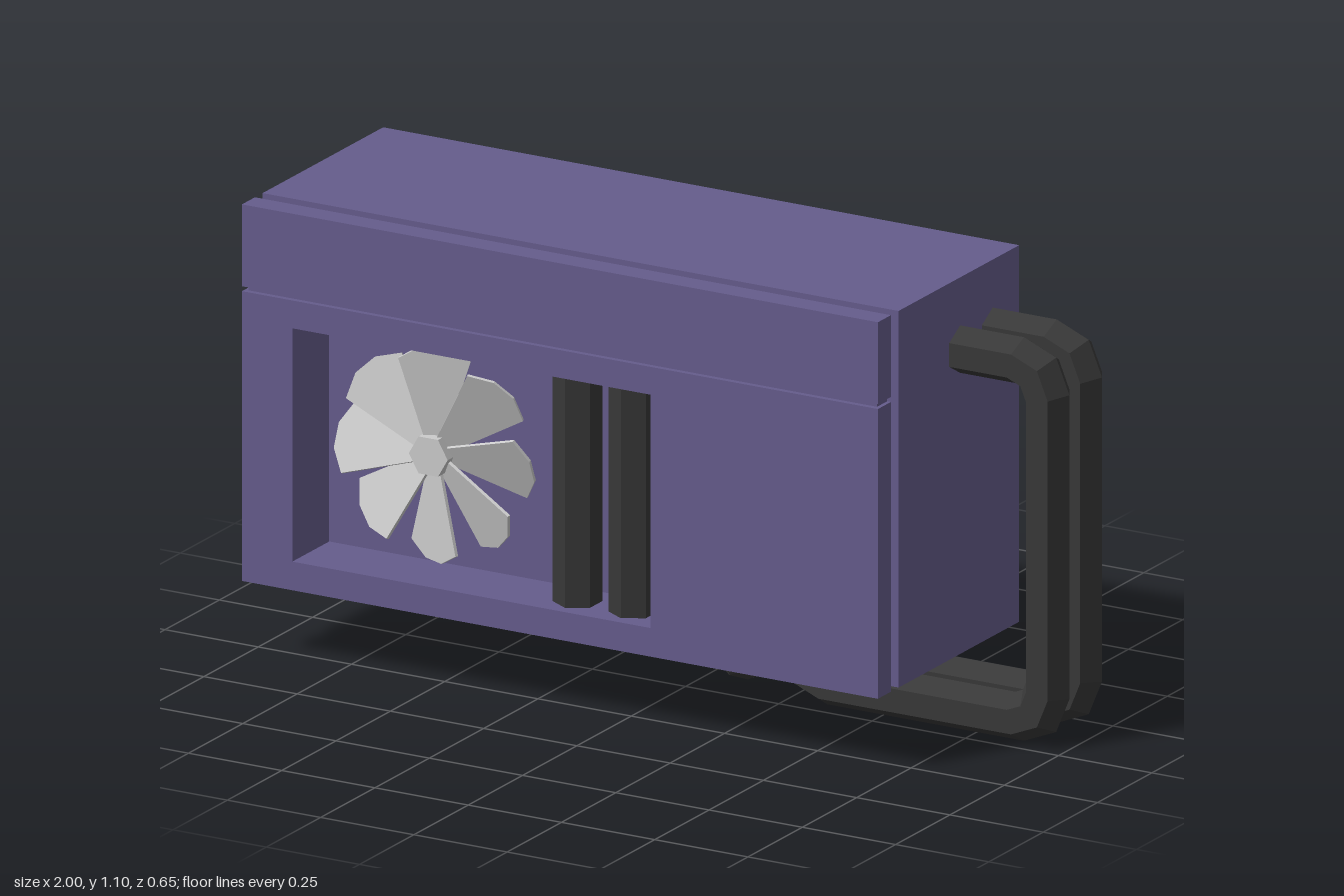
import * as THREE from 'three';

const mat = (color) => new THREE.MeshStandardMaterial({ color, flatShading: true, side: THREE.DoubleSide });

export function createModel() {
  const model = new THREE.Group();
  const shell = mat(0x655c8c), dark = mat(0x383838), grey = mat(0xcccccc);

  const add = (name, geometry, material, parent = model) => {
    const mesh = new THREE.Mesh(geometry, material);
    mesh.name = name;
    parent.add(mesh);
    return mesh;
  };

  // Box given by its two extremes on each axis
  const block = (name, [x0, x1], [y0, y1], [z0, z1]) => add(name,
    new THREE.BoxGeometry(x1 - x0, y1 - y0, z1 - z0)
      .translate((x0 + x1) / 2, (y0 + y1) / 2, (z0 + z1) / 2), shell);

  const rect = (C, [x0, x1], [y0, y1]) =>
    new C([[x0, y0], [x1, y0], [x1, y1], [x0, y1]].map((p) => new THREE.Vector2(...p)));

  // Plate with the window cut through it
  const windowX = [-0.865, 0.095], windowY = [0.255, 0.825];
  const framed = (name, x, y, [z0, z1]) => {
    const shape = rect(THREE.Shape, x, y);
    shape.holes.push(rect(THREE.Path, windowX, windowY));
    add(name, new THREE.ExtrudeGeometry(shape, { depth: z1 - z0, bevelEnabled: false })
      .translate(0, 0, z0), shell);
  };

  // Casing and front panels
  const fullX = [-1, 0.705];
  block('casingRear', fullX, [0.185, 1.105], [-0.325, 0.155]);
  framed('casingFront', fullX, [0.185, 1.105], [0.155, 0.23]);
  framed('panelSpacer', [-0.88, 0.6], [0.25, 1.045], [0.23, 0.265]);
  framed('lowerPanel', fullX, [0.185, 0.893], [0.265, 0.325]);
  block('upperPanel', fullX, [0.905, 1.105], [0.265, 0.325]);
  block('panelSeam', [-0.99, 0.695], [0.893, 0.905], [0.265, 0.312]);

  // Tilted flap under the casing
  const flap = add('ventFlap', new THREE.BoxGeometry(1.52, 0.012, 0.12), shell);
  flap.position.set(-0.145, 0.175, 0.129);
  flap.rotation.x = Math.PI / 6;

  // Fan behind the window
  const fan = new THREE.Group();
  fan.name = 'fan';
  fan.position.set(-0.55, 0.54, 0.21);
  model.add(fan);
  add('fanHub', new THREE.CylinderGeometry(0.052, 0.052, 0.06, 6)
    .rotateY(Math.PI / 6).rotateX(Math.PI / 2), grey, fan);
  const bladeShape = new THREE.Shape([
    [-0.022, 0.03], [0.022, 0.03], [0.085, 0.23], [0.03, 0.262], [-0.03, 0.262], [-0.085, 0.23],
  ].map((p) => new THREE.Vector2(...p)));
  const bladeGeo = new THREE.ExtrudeGeometry(bladeShape, { depth: 0.008, bevelEnabled: false })
    .translate(0, 0, -0.004).rotateY(0.4);
  for (let i = 0; i < 8; i++) add('fanBlade', bladeGeo, grey, fan).rotation.z = i * Math.PI / 4;

  // Upright pipes in the window
  const R = 0.058;
  for (const x of [-0.15, 0]) {
    add('uprightPipe', new THREE.CylinderGeometry(R, R, 0.57, 6), dark).position.set(x, 0.54, 0.24);
  }

  // Hexagonal pipe with rounded corners and mitred joints
  const pipe = (name, corners) => {
    const c = corners.map((p) => new THREE.Vector3(...p));
    const pts = [c[0]];
    for (let i = 1; i < c.length - 1; i++) {
      const r = 0.075;
      const a = c[i - 1].clone().sub(c[i]).setLength(r);
      const b = c[i + 1].clone().sub(c[i]).setLength(r);
      for (const t of [0, Math.PI / 4, Math.PI / 2]) {
        pts.push(c[i].clone().addScaledVector(a, 1 - Math.sin(t)).addScaledVector(b, 1 - Math.cos(t)));
      }
    }
    pts.push(c[c.length - 1]);
    const dirs = pts.slice(1).map((p, i) => p.clone().sub(pts[i]).normalize());
    // First ring faces along x, later rings are slid onto each mitre plane
    let ring = [];
    for (let k = 0; k < 6; k++) {
      const t = k * Math.PI / 3;
      ring.push(pts[0].clone().add(new THREE.Vector3(0, R * Math.cos(t), R * Math.sin(t))));
    }
    const rings = [ring];
    dirs.forEach((d, i) => {
      const n = d.clone().add(dirs[i + 1] || d).normalize();
      ring = ring.map((p) => p.clone().addScaledVector(d, pts[i + 1].clone().sub(p).dot(n) / d.dot(n)));
      rings.push(ring);
    });
    const index = [];
    for (let i = 0; i < rings.length - 1; i++) {
      for (let k = 0; k < 6; k++) {
        const a = i * 6 + k, b = i * 6 + (k + 1) % 6;
        index.push(a, b, a + 6, b, b + 6, a + 6);
      }
    }
    const geo = new THREE.BufferGeometry().setFromPoints(rings.flat());
    geo.setIndex(index);
    const flat = geo.toNonIndexed();
    flat.computeVertexNormals();
    add(name, flat, dark);
  };

  // Outer pipes looping from the side to the underside
  const loop = (z, endX) => [[0.68, 0.93, z], [0.94, 0.93, z], [0.94, 0.06, z], [endX, 0.06, z]];
  pipe('frontPipe', [...loop(-0.053, 0.285), [0.285, 0.22, -0.053]]);
  pipe('rearPipe', [...loop(-0.203, 0.1), [0.1, 0.06, -0.053], [0.1, 0.22, -0.053]]);

  return model;
}
